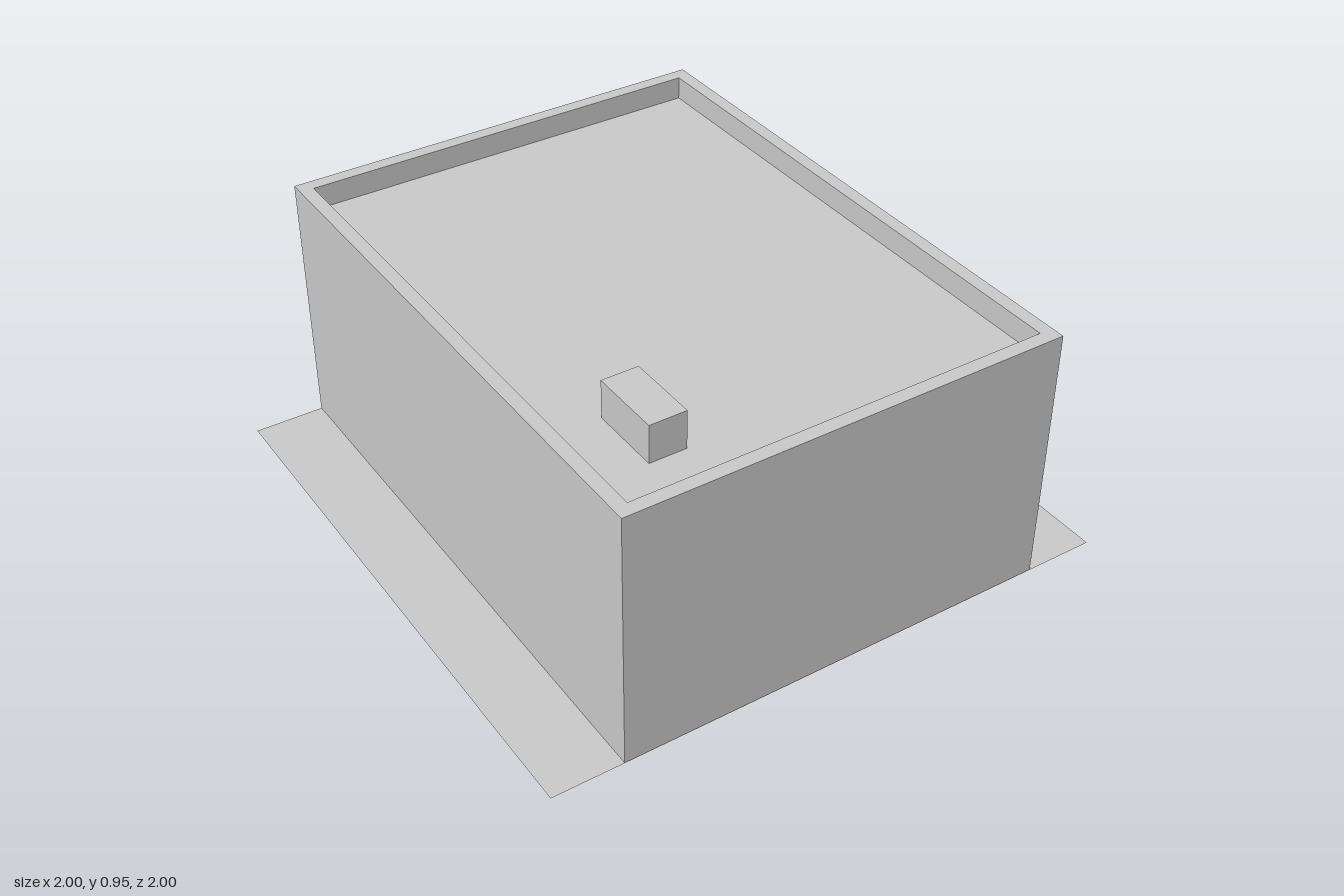
import * as THREE from 'three';

const X = 0.757, Z = 1;            // half width and half depth of the building
const OPEN = 0.784, INNER = 0.707; // half length of the shopfront opening, x of its back wall
const SILL = 0.45, ROOF = 0.82, TOP = 0.9, RIM = 0.047;

export function createModel() {
  const model = new THREE.Group();
  const grey = new THREE.MeshStandardMaterial({ color: 0xcccccc, flatShading: true });
  const thin = new THREE.MeshStandardMaterial({ color: 0xcccccc, side: THREE.DoubleSide });

  const add = (name, geometry, material = grey) => {
    const mesh = new THREE.Mesh(geometry, material);
    mesh.name = name;
    model.add(mesh);
    return mesh;
  };
  const outline = (points) => new THREE.Shape(points.map(([a, b]) => new THREE.Vector2(a, b)));
  const rectangle = (x, z) => [[-x, -z], [x, -z], [x, z], [-x, z]];
  // Raises a floor plan (x, z) from one height to another
  const raise = (shape, y0, y1) =>
    new THREE.ExtrudeGeometry(shape, { depth: y1 - y0, bevelEnabled: false })
      .rotateX(-Math.PI / 2).translate(0, y0, 0);
  const block = (x0, x1, y0, y1, z0, z1) =>
    new THREE.BoxGeometry(x1 - x0, y1 - y0, z1 - z0)
      .translate((x0 + x1) / 2, (y0 + y1) / 2, (z0 + z1) / 2);

  // Flat plot under the building
  add('ground', new THREE.PlaneGeometry(2, 2).rotateX(-Math.PI / 2), thin);

  // Lower storey with the shallow shopfront recess on its +x side
  add('lowerWalls', raise(outline([
    [-X, -Z], [X, -Z], [X, -OPEN], [INNER, -OPEN],
    [INNER, OPEN], [X, OPEN], [X, Z], [-X, Z],
  ]), 0.001, SILL));

  // Upper storey up to the sunken roof
  add('upperWalls', raise(outline(rectangle(X, Z)), SILL, ROOF));

  // Parapet around the roof
  const parapet = outline(rectangle(X, Z));
  parapet.holes.push(outline(rectangle(X - RIM, Z - RIM)));
  add('parapet', raise(parapet, ROOF, TOP));

  // Rooftop vent box
  add('roofVent', block(-0.52, -0.395, ROOF, 0.95, 0.515, 0.762));

  // Blank sign board above the awning
  add('signBoard', block(X, 0.782, 0.577, 0.79, -OPEN, OPEN));

  // Wedge-shaped awning over the shopfront
  const wedge = outline([[X, SILL], [0.98, SILL], [X, 0.58]]);
  add('awning', new THREE.ExtrudeGeometry(wedge, { depth: 2 * OPEN, bevelEnabled: false })
    .translate(0, 0, -OPEN));

  return model;
}
